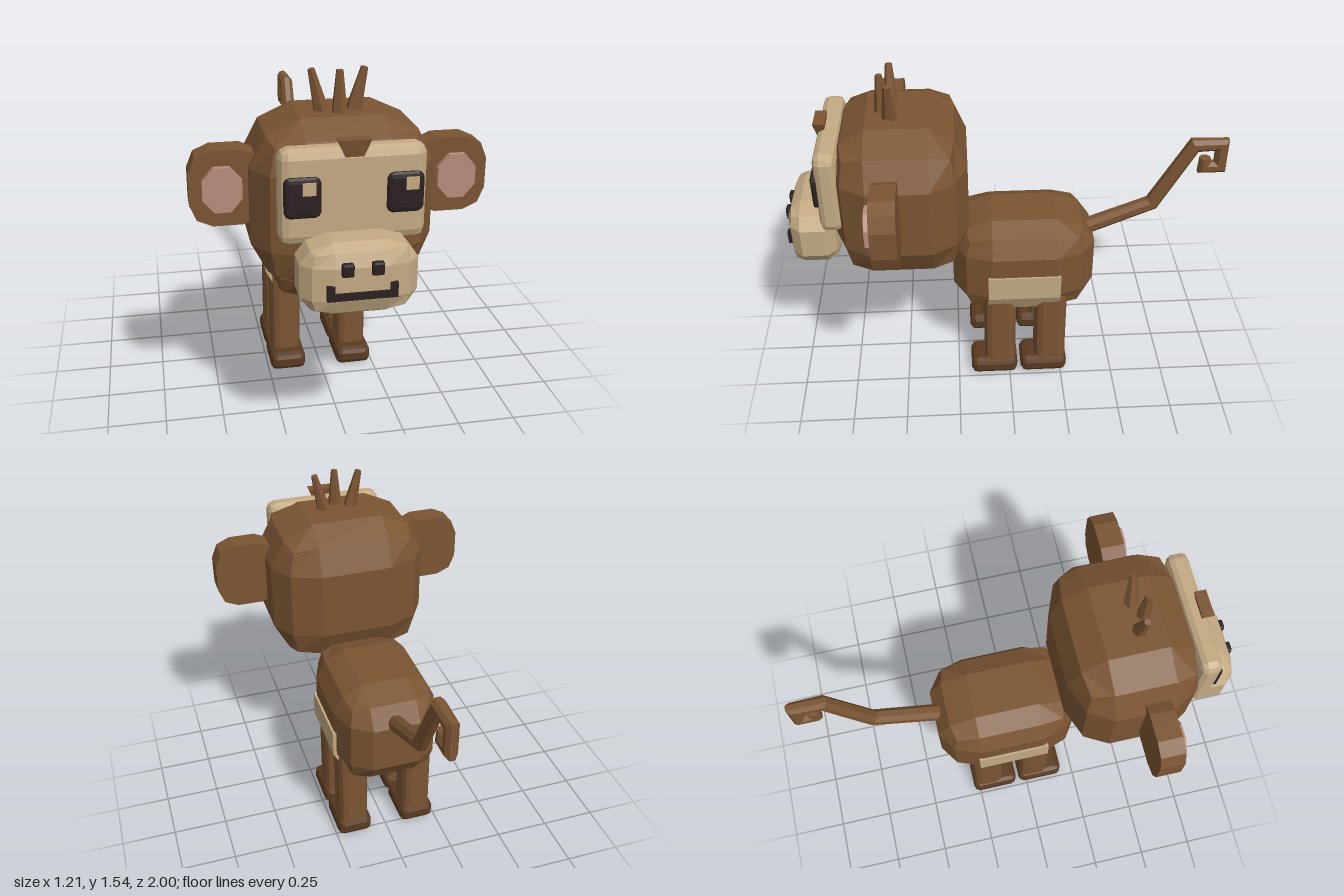
import * as THREE from 'three';

const mat = (name, color) => {
  const m = new THREE.MeshStandardMaterial({ color });
  m.name = name;
  return m;
};

// Facet a geometry so every face is flat
function flat(geo) {
  const g = geo.index ? geo.toNonIndexed() : geo;
  g.computeVertexNormals();
  return g;
}

// Box whose edges and corners are rounded off over a distance b per axis
function softBox(w, h, d, bevel) {
  const geo = new THREE.BoxGeometry(2, 2, 2, 3, 3, 3);
  const p = geo.attributes.position;
  const half = [w / 2, h / 2, d / 2];
  for (let i = 0; i < p.count; i++) {
    const v = [p.getX(i), p.getY(i), p.getZ(i)];
    const outer = v.filter(c => Math.abs(c) > 0.9).length;
    const pull = [0, 0, 0.33, 0.44][outer];
    const q = v.map((c, k) => {
      const b = bevel ? Math.min(bevel, half[k] * 0.6) : half[k] * 0.55;
      return Math.sign(c) * (half[k] - b * (Math.abs(c) > 0.9 ? pull : 1));
    });
    p.setXYZ(i, ...q);
  }
  return flat(geo);
}

// Flat outline extruded along z from z0 to z1
function slab(points, z0, z1) {
  const shape = new THREE.Shape(points.map(([x, y]) => new THREE.Vector2(x, y)));
  const geo = new THREE.ExtrudeGeometry(shape, { depth: z1 - z0, bevelEnabled: false });
  geo.translate(0, 0, z0);
  return flat(geo);
}

// Mitred tube through [z, y, radius] points in the plane x = 0
function mitredTube(path, sides) {
  const pts = path.map(([z, y]) => new THREE.Vector2(z, y));
  const pos = [], idx = [];
  pts.forEach((p, i) => {
    const a = pts[Math.max(i - 1, 0)], b = pts[Math.min(i + 1, pts.length - 1)];
    const d1 = (i ? p.clone().sub(a) : b.clone().sub(p)).normalize();
    const d2 = (i < pts.length - 1 ? b.clone().sub(p) : d1.clone()).normalize();
    const n = new THREE.Vector2(-d1.y - d2.y, d1.x + d2.x).normalize();
    const stretch = 1 / n.dot(new THREE.Vector2(-d1.y, d1.x));
    const r = path[i][2];
    for (let k = 0; k < sides; k++) {
      const t = ((k + 0.5) / sides) * Math.PI * 2;
      const s = r * Math.sin(t) * stretch;
      pos.push(r * Math.cos(t), p.y + n.y * s, p.x + n.x * s);
    }
  });
  const last = (pts.length - 1) * sides;
  for (let i = 0; i < pts.length - 1; i++) {
    for (let k = 0; k < sides; k++) {
      const a = i * sides + k, b = i * sides + (k + 1) % sides;
      idx.push(a, b, a + sides, b, b + sides, a + sides);
    }
  }
  for (let k = 1; k < sides - 1; k++) {
    idx.push(0, k + 1, k, last, last + k, last + k + 1);
  }
  const geo = new THREE.BufferGeometry();
  geo.setAttribute('position', new THREE.Float32BufferAttribute(pos, 3));
  geo.setIndex(idx);
  return flat(geo);
}

export function createModel() {
  const fur = mat('brown fur', 0x7b5533);
  const cream = mat('cream skin', 0xc4aa84);
  const foot = mat('dark brown feet', 0x5a3a20);
  const dark = mat('near black', 0x2b2022);
  const pink = mat('pink inner ear', 0xb98c7c);

  const model = new THREE.Group();
  model.name = 'monkey';
  const add = (name, geo, material, x = 0, y = 0, z = 0) => {
    const mesh = new THREE.Mesh(geo, material);
    mesh.name = name;
    mesh.position.set(x, y, z);
    model.add(mesh);
    return mesh;
  };

  // Body with a cream band under the belly
  add('body', softBox(0.48, 0.48, 0.66), fur, 0, 0.6, -0.07);
  add('bellyPatch', slab([
    [-0.25, 0.61], [-0.25, 0.49], [-0.205, 0.4], [-0.095, 0.352],
    [0.095, 0.352], [0.205, 0.4], [0.25, 0.49], [0.25, 0.61],
  ], -0.235, 0.1), cream);

  // Head, face plate and muzzle
  add('head', softBox(0.74, 0.7, 0.59), fur, 0, 1.02, 0.475);
  add('facePlate', softBox(0.57, 0.38, 0.1, 0.038), cream, 0, 1.12, 0.772);
  add('muzzle', softBox(0.456, 0.295, 0.235), cream, 0, 0.835, 0.87);

  // Ears
  const ring = [[1, 0.4], [0.82, 0.82], [0.4, 1], [-0.4, 1], [-0.82, 0.82], [-1, 0.4]];
  const outline = [...ring, ...ring.map(([x, y]) => [-x, -y])].map(([x, y]) => [x * 0.15, y * 0.157]);
  const innerEar = new THREE.CylinderGeometry(0.1, 0.1, 0.04, 8)
    .rotateY(Math.PI / 8).rotateX(Math.PI / 2).scale(0.85, 1, 1);
  // Eyes, nostrils and legs come in pairs too
  for (const [side, s] of [['left', 1], ['right', -1]]) {
    add(side + 'Ear', slab(outline, 0.47, 0.578), fur, s * 0.455, 1.093);
    add(side + 'InnerEar', flat(innerEar), pink, s * 0.475, 1.093, 0.583);
    add(side + 'Eye', softBox(0.142, 0.16, 0.035, 0.022), dark, s * 0.197, 1.128, 0.823);
    add(side + 'EyeHighlight', new THREE.BoxGeometry(0.05, 0.05, 0.009), cream, s * 0.197 + 0.023, 1.166, 0.841);
    add(side + 'Nostril', softBox(0.048, 0.054, 0.03, 0.008), dark, s * 0.057, 0.896, 0.985);
    add(side + 'MouthCorner', new THREE.BoxGeometry(0.03, 0.032, 0.04), dark, s * 0.12, 0.82, 0.976);
    for (const [end, z] of [['Front', 0.045], ['Back', -0.197]]) {
      add(side + end + 'Leg', softBox(0.138, 0.45, 0.15, 0.035), fur, s * 0.158, 0.27, z);
      add(side + end + 'Foot', softBox(0.166, 0.085, 0.225, 0.028), foot, s * 0.158, 0.0425, z + 0.03);
    }
    // Outer hair spikes lean outwards
    const spike = add(side + 'HairSpike', flat(new THREE.CylinderGeometry(0.015, 0.036, 0.2, 6)), fur, s * 0.083, 1.44, 0.503);
    spike.rotation.z = -s * 0.24;
  }
  add('mouth', new THREE.BoxGeometry(0.27, 0.03, 0.04), dark, 0, 0.79, 0.976);
  add('centreHairSpike', flat(new THREE.CylinderGeometry(0.015, 0.036, 0.2, 6)), fur, 0, 1.437, 0.54);

  // Forehead tuft, tapering downwards
  const tuft = new THREE.CylinderGeometry(Math.SQRT2 / 2, Math.SQRT2 / 4, 0.078, 4)
    .rotateY(Math.PI / 4).scale(0.125, 1, 0.052);
  add('foreheadTuft', flat(tuft), fur, 0, 1.303, 0.806);

  // Tail, kinked upwards and ending in a square hook
  add('tail', mitredTube([
    [-0.32, 0.695, 0.04], [-0.675, 0.84, 0.036], [-0.845, 1.148, 0.033], [-0.971, 1.148, 0.03],
    [-0.971, 1.032, 0.03], [-0.9, 1.032, 0.03], [-0.9, 1.08, 0.026],
  ], 8), fur);

  return model;
}
